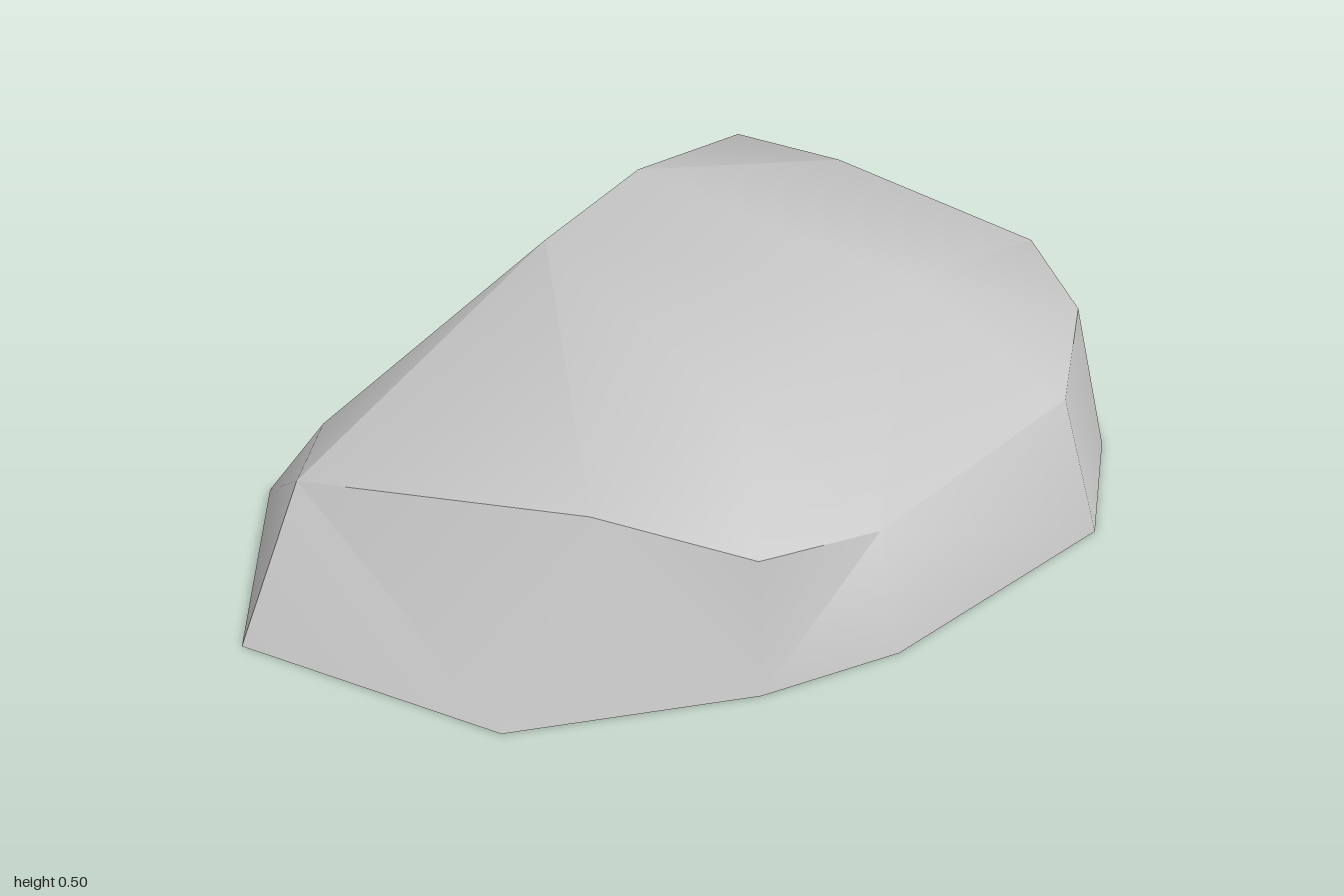
import * as THREE from 'three';
import { toCreasedNormals } from 'three/addons/utils/BufferGeometryUtils.js';

// Ground outline and shoulder ring, paired point by point, from the back round by +x
const BASE = [
  [0.28, 0, -1], [0.71, 0.09, -0.79], [0.95, 0.02, -0.33], [0.89, 0, 0.13],
  [0.77, 0, 0.48], [0.28, 0, 0.85], [0, 0, 0.95], [-0.48, 0, 1],
  [-0.95, 0, 0.66], [-0.91, 0.01, 0.1], [-0.52, 0, -0.23], [-0.2, 0.05, -0.87],
];
const SHOULDER = [
  [0.25, 0.32, -0.97], [0.45, 0.36, -0.68], [0.79, 0.355, -0.18], [0.82, 0.32, 0.1],
  [0.71, 0.27, 0.4], [0.25, 0.23, 0.78], [0, 0.26, 0.9], [-0.3, 0.355, 0.86],
  [-0.83, 0.26, 0.5], [-0.78, 0.26, 0.28], [-0.3, 0.46, -0.1], [-0.06, 0.23, -0.78],
];
// Bands whose side quad is split along the other diagonal
const FLIPPED = [5, 8, 11];
// Crown points: back peak, side peak, front slope
const PEAK = [-0.07, 0.495, -0.37];
const SIDE = [0.42, 0.465, 0.22];
const SLOPE = [0.02, 0.41, 0.6];

function surface(triangles, crease) {
  const geometry = new THREE.BufferGeometry();
  geometry.setAttribute('position', new THREE.Float32BufferAttribute(triangles.flat(2), 3));
  return toCreasedNormals(geometry, crease);
}

export function createModel() {
  const group = new THREE.Group();
  group.name = 'rock';
  const stone = new THREE.MeshStandardMaterial({ color: 0xc5c5c5 });
  stone.name = 'light grey stone';
  const add = (name, geometry) => {
    const mesh = new THREE.Mesh(geometry, stone);
    mesh.name = name;
    group.add(mesh);
  };

  const R = SHOULDER;
  const shell = [];
  // Sides: band between the outline and the shoulder
  BASE.forEach((b, i) => {
    const j = (i + 1) % BASE.length;
    if (FLIPPED.includes(i)) shell.push([b, R[i], BASE[j]], [BASE[j], R[i], R[j]]);
    else shell.push([b, R[i], R[j]], [b, R[j], BASE[j]]);
  });
  // Crown: fans from the crown points to the shoulder
  const fan = (centre, ring) => {
    for (let i = 0; i + 1 < ring.length; i++) shell.push([centre, ring[i + 1], ring[i]]);
  };
  fan(PEAK, [R[10], R[11], R[0], R[1], R[2], SIDE, R[10]]);
  fan(SIDE, [R[2], R[3], R[4], R[5], SLOPE, R[10]]);
  fan(SLOPE, [R[5], R[6], R[7], R[10]]);
  fan(R[10], [R[7], R[8], R[9]]);
  add('rockShell', surface(shell, 0.75));

  // Underside: the outline filled in, facing down
  const outline = BASE.map(([x, , z]) => new THREE.Vector2(x, z));
  const under = THREE.ShapeUtils.triangulateShape(outline, []).map((face) => {
    const [a, b, c] = face.map((i) => BASE[i]);
    const up = (b[2] - a[2]) * (c[0] - a[0]) - (b[0] - a[0]) * (c[2] - a[2]);
    return up > 0 ? [a, c, b] : [a, b, c];
  });
  add('underside', surface(under, 1.2));
  return group;
}
